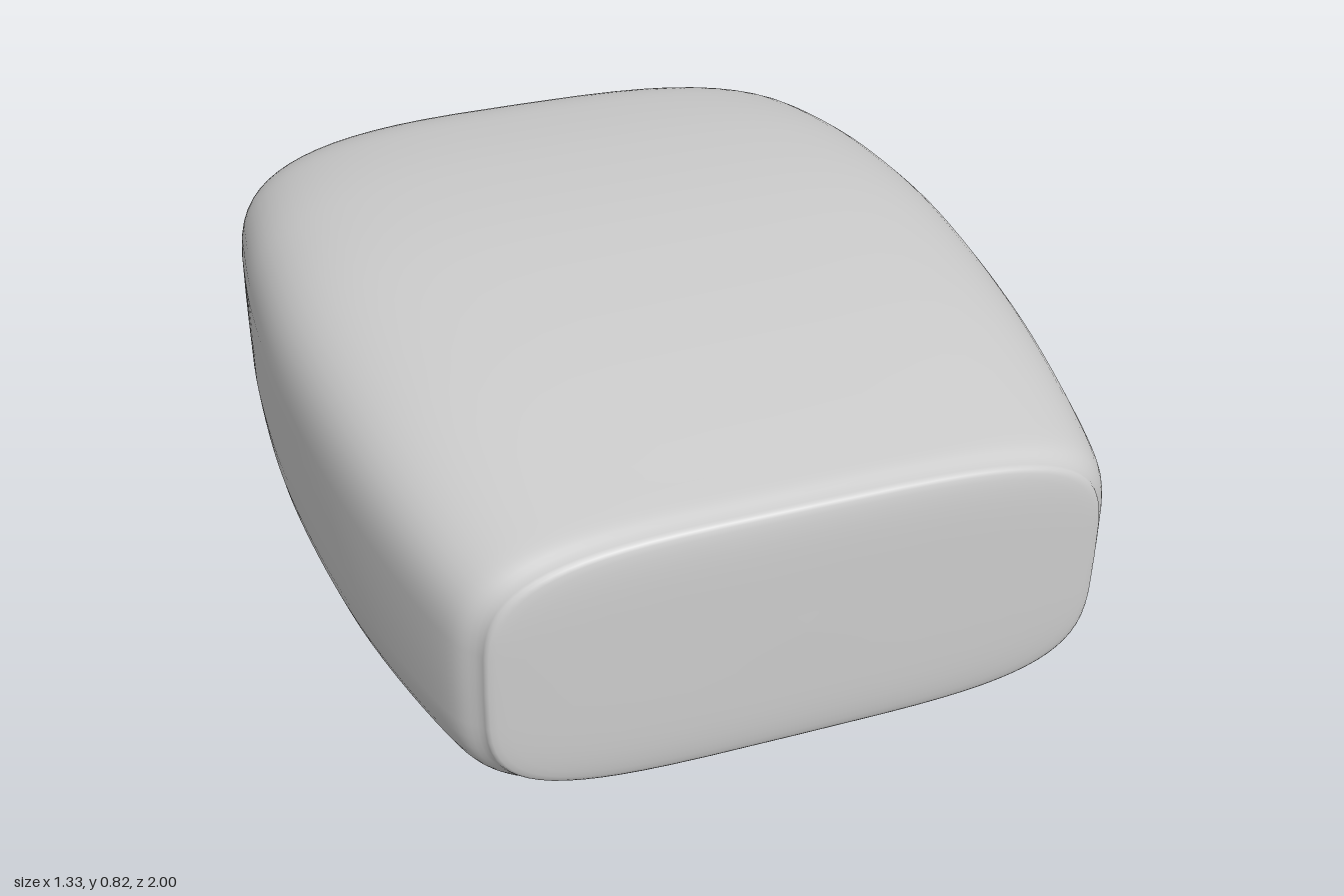
import * as THREE from 'three';

const grey = new THREE.MeshStandardMaterial({ color: 0xcccccc });
const pink = new THREE.MeshStandardMaterial({ color: 0xe0a0a8 });

// Smooth loft through stations [topZ, topY, bottomZ, bottomY, centreX, halfWidth, squareness]
function loft(stations, rows, cols) {
  const curve = (f) => new THREE.CatmullRomCurve3(
    stations.map((s) => new THREE.Vector3(...f(s))), false, 'catmullrom', 0.5);
  const top = curve((s) => [s[4], s[1], s[0]]);
  const bottom = curve((s) => [s[4], s[3], s[2]]);
  const size = curve((s) => [s[5], s[6], 0]);
  const round = (v, n) => Math.sign(v) * Math.pow(Math.abs(v), 2 / n);
  const positions = [], index = [];
  for (let j = 0; j <= rows; j++) {
    const t = j / rows;
    const a = top.getPoint(t), b = bottom.getPoint(t), s = size.getPoint(t);
    for (let i = 0; i < cols; i++) {
      const angle = (i / cols) * Math.PI * 2;
      const p = b.clone().lerp(a, 0.5 + 0.5 * round(Math.sin(angle), s.y));
      positions.push(p.x + Math.max(s.x, 0) * round(Math.cos(angle), s.y), p.y, p.z);
      if (j < rows) {
        const k = (i + 1) % cols, r = j * cols, q = r + cols;
        index.push(r + i, q + i, r + k, r + k, q + i, q + k);
      }
    }
  }
  const geometry = new THREE.BufferGeometry();
  geometry.setAttribute('position', new THREE.Float32BufferAttribute(positions, 3));
  geometry.setIndex(index);
  geometry.computeVertexNormals();
  return geometry;
}

export function createModel() {
  const group = new THREE.Group();
  const add = (name, geometry, material) => {
    const mesh = new THREE.Mesh(geometry, material);
    mesh.name = name;
    group.add(mesh);
    return mesh;
  };

  // Broad leg that bends down into the paw
  add('leg', loft([
    [1.0, 0.5, 1.0, 0.48, 0, 0, 4],
    [0.995, 0.69, 0.995, 0.29, 0, 0.46, 4],
    [0.965, 0.725, 0.965, 0.245, 0, 0.535, 4],
    [0.87, 0.745, 0.87, 0.225, 0, 0.58, 4],
    [0.55, 0.792, 0.55, 0.187, 0, 0.638, 4],
    [0.2, 0.82, 0.2, 0.182, 0, 0.665, 4],
    [-0.08, 0.817, -0.08, 0.2, 0, 0.655, 4],
    [-0.3, 0.795, -0.26, 0.226, 0, 0.63, 3.8],
    [-0.44, 0.765, -0.34, 0.23, 0, 0.61, 3.4],
    [-0.57, 0.7, -0.42, 0.19, 0, 0.58, 3],
    [-0.7, 0.6, -0.52, 0.145, 0, 0.52, 2.8],
    [-0.81, 0.5, -0.64, 0.12, 0, 0.43, 2.8],
    [-0.86, 0.42, -0.74, 0.14, 0, 0.32, 2.6],
    [-0.86, 0.28, -0.86, 0.26, 0, 0, 2.6],
  ], 91, 72), grey);

  for (const [side, sx] of [['left', 1], ['right', -1]]) {
    // Toes: outer ones shorter, inner ones reach the tip
    add(side + 'OuterToe', loft([
      [-0.45, 0.46, -0.4, 0.4, sx * 0.39, 0, 2.4],
      [-0.5, 0.6, -0.38, 0.25, sx * 0.39, 0.17, 2.4],
      [-0.63, 0.59, -0.48, 0.165, sx * 0.385, 0.178, 2.4],
      [-0.76, 0.53, -0.62, 0.1, sx * 0.365, 0.172, 2.4],
      [-0.86, 0.435, -0.75, 0.085, sx * 0.345, 0.155, 2.4],
      [-0.905, 0.34, -0.84, 0.13, sx * 0.33, 0.11, 2.3],
      [-0.9, 0.24, -0.9, 0.22, sx * 0.325, 0, 2.2],
    ], 42, 36), grey);
    add(side + 'InnerToe', loft([
      [-0.5, 0.45, -0.45, 0.4, sx * 0.15, 0, 2.4],
      [-0.55, 0.6, -0.45, 0.24, sx * 0.15, 0.13, 2.4],
      [-0.7, 0.59, -0.55, 0.15, sx * 0.155, 0.15, 2.4],
      [-0.85, 0.485, -0.7, 0.06, sx * 0.155, 0.16, 2.4],
      [-0.935, 0.405, -0.8, 0.032, sx * 0.15, 0.158, 2.4],
      [-0.985, 0.32, -0.9, 0.03, sx * 0.145, 0.14, 2.4],
      [-1.0, 0.25, -0.965, 0.07, sx * 0.14, 0.09, 2.3],
      [-1.0, 0.16, -1.0, 0.15, sx * 0.14, 0, 2.2],
    ], 49, 36), grey);

    // Toe beans: pink underneath, grey above
    for (const [name, x, y, z, rx, ry, rz] of [
      ['OuterBean', 0.352, 0.13, -0.495, 0.07, 0.044, 0.068],
      ['InnerBean', 0.14, 0.045, -0.662, 0.078, 0.042, 0.075],
    ]) {
      [['Top', 0, grey], ['Pad', Math.PI / 2, pink]].forEach(([part, start, material]) => {
        const half = new THREE.SphereGeometry(1, 28, 10, 0, Math.PI * 2, start, Math.PI / 2);
        const bean = add(side + name + part, half, material);
        bean.position.set(sx * x, y, z);
        bean.scale.set(rx, ry, rz);
      });
    }
  }

  // Wide main pad under the paw
  const pad = add('mainPad', new THREE.SphereGeometry(1, 40, 24), pink);
  pad.position.set(0, 0.17, -0.4);
  pad.scale.set(0.36, 0.053, 0.175);
  pad.rotation.x = -0.45;

  return group;
}
